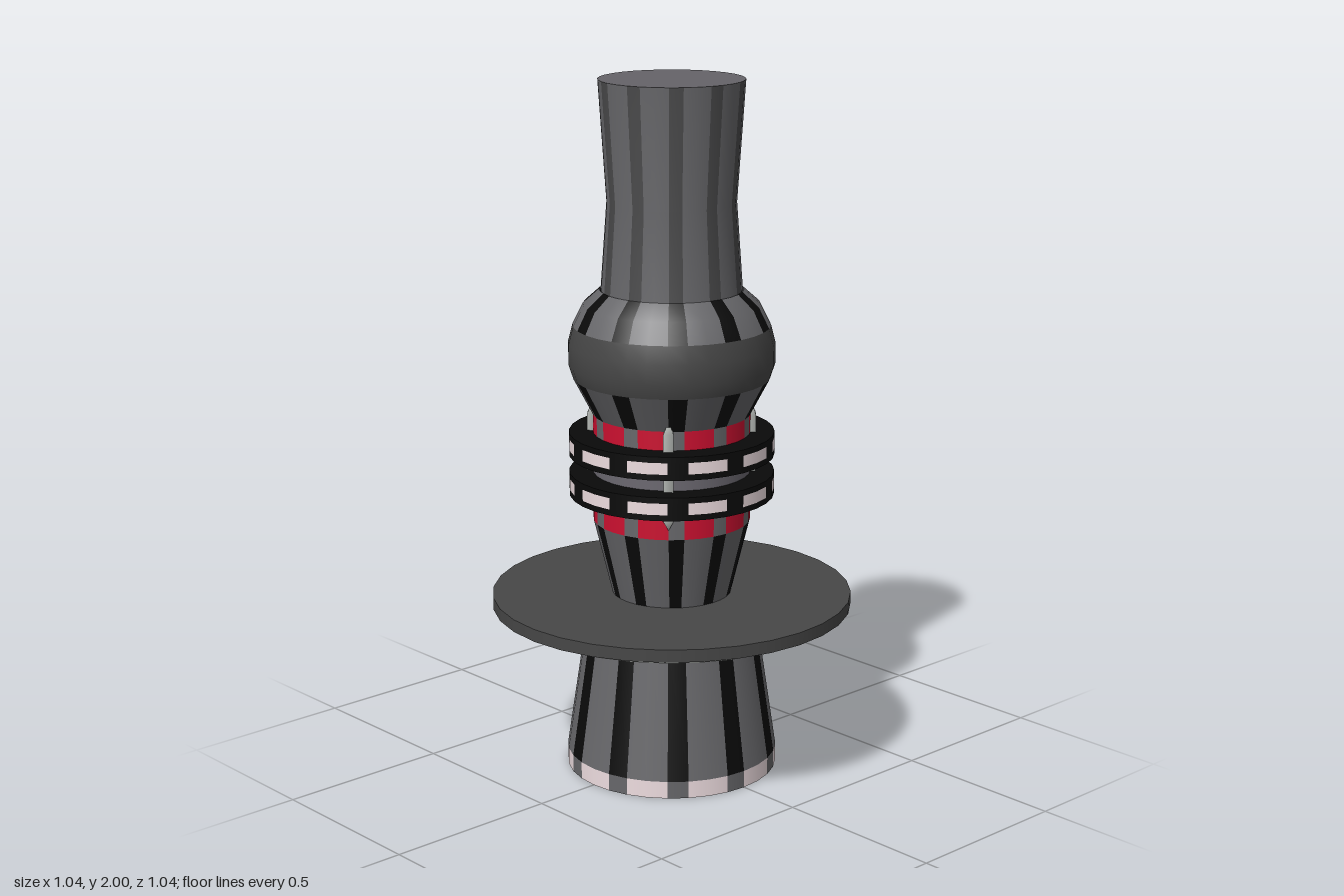
import * as THREE from 'three';
import { mergeGeometries } from 'three/addons/utils/BufferGeometryUtils.js';

const SEG = 32;
const STEP = (Math.PI * 2) / SEG;
const BODY = 0x67676a, BLACK = 0x0a0a0a, DARK = 0x474747, PALE = 0xeedde0, RED = 0xcc1030, LIGHT = 0xb8bcb8;

// segments (counted from +x towards +z) that carry a stripe
const striped = new Set();
for (let m = 0; m < 11; m++) striped.add((14 + 3 * m) % SEG);

export function createModel() {
  const model = new THREE.Group();

  const add = (name, geometry, color, parent = model) => {
    const mesh = new THREE.Mesh(geometry, new THREE.MeshStandardMaterial({ color, side: THREE.DoubleSide }));
    mesh.name = name;
    parent.add(mesh);
    return mesh;
  };

  const points = (profile) => profile.map(([r, y]) => new THREE.Vector2(r, y));

  // full turned section
  const turn = (name, profile, color) => add(name, new THREE.LatheGeometry(points(profile), SEG), color);

  // turned section split into main panels and narrow stripes
  const turnStriped = (name, profile, mainColor, stripeColor) => {
    const main = [], stripes = [];
    for (let k = 0; k < SEG; k++) {
      const slice = new THREE.LatheGeometry(points(profile), 1, Math.PI / 2 - (k + 1) * STEP, STEP);
      (striped.has(k) ? stripes : main).push(slice);
    }
    const group = new THREE.Group();
    group.name = name;
    add(name + 'Panels', mergeGeometries(main), mainColor, group);
    add(name + 'Stripes', mergeGeometries(stripes), stripeColor, group);
    model.add(group);
  };

  // foot
  turn('footUnderside', [[0, 0], [0.305, 0]], DARK);
  turnStriped('footRim', [[0.305, 0], [0.305, 0.05]], PALE, BODY);
  turnStriped('foot', [[0.305, 0.05], [0.25, 0.42]], BODY, BLACK);

  // wide guard disc
  turn('guardCollar', [[0.25, 0.42], [0.25, 0.432]], LIGHT);
  turn('guardUnderside', [[0.25, 0.432], [0.47, 0.468]], BODY);
  turn('guardTrim', [[0.47, 0.468], [0.47, 0.488]], LIGHT);
  turn('guardLip', [[0.47, 0.488], [0.518, 0.488]], DARK);
  turn('guardEdge', [[0.518, 0.488], [0.518, 0.524]], DARK);
  turn('guardTop', [[0.518, 0.524], [0.16, 0.524]], DARK);

  // neck and core
  turnStriped('neck', [[0.172, 0.524], [0.225, 0.742]], BODY, BLACK);
  turnStriped('lowerBand', [[0.225, 0.742], [0.225, 0.82]], RED, BODY);
  turn('core', [[0.225, 0.82], [0.225, 1.0]], 0x6b6870);
  turnStriped('upperBand', [[0.225, 1.0], [0.225, 1.055]], RED, BODY);

  // two rings with pale windows around the core
  for (const [name, y] of [['lowerRing', 0.818], ['upperRing', 0.934]]) {
    turn(name + 'Bottom', [[0.22, y], [0.293, y]], BLACK);
    turn(name + 'LowerEdge', [[0.293, y], [0.293, y + 0.017]], BLACK);
    turnStriped(name + 'Windows', [[0.293, y + 0.017], [0.293, y + 0.05]], PALE, BLACK);
    turn(name + 'UpperEdge', [[0.293, y + 0.05], [0.293, y + 0.067]], BLACK);
    turn(name + 'Top', [[0.293, y + 0.067], [0.22, y + 0.067]], BLACK);
  }

  // four slim pointed clips on the diagonals
  for (let i = 0; i < 4; i++) {
    const a = Math.PI / 4 + (i * Math.PI) / 2;
    const clip = new THREE.LatheGeometry(points([[0, 0.77], [0.02, 0.8], [0.02, 1.05], [0, 1.085]]), 4);
    add('clip' + (i + 1), clip.toNonIndexed(), LIGHT).position.set(0.226 * Math.cos(a), 0, 0.226 * Math.sin(a));
    clip.dispose();
  }

  // bulge
  turnStriped('bulgeLower', [[0.225, 1.055], [0.28, 1.16]], BODY, BLACK);
  turn('bulgeBelt', [[0.28, 1.16], [0.293, 1.2], [0.293, 1.26], [0.28, 1.31]], DARK);
  turnStriped('bulgeUpper', [[0.28, 1.31], [0.25, 1.37], [0.203, 1.412]], BODY, BLACK);

  // waisted column
  turnStriped('column', [[0.2, 1.41], [0.182, 1.66], [0.205, 2]], BODY, 0x4a4a4b);
  turn('columnTop', [[0.205, 2], [0, 2]], 0x656368);

  return model;
}
